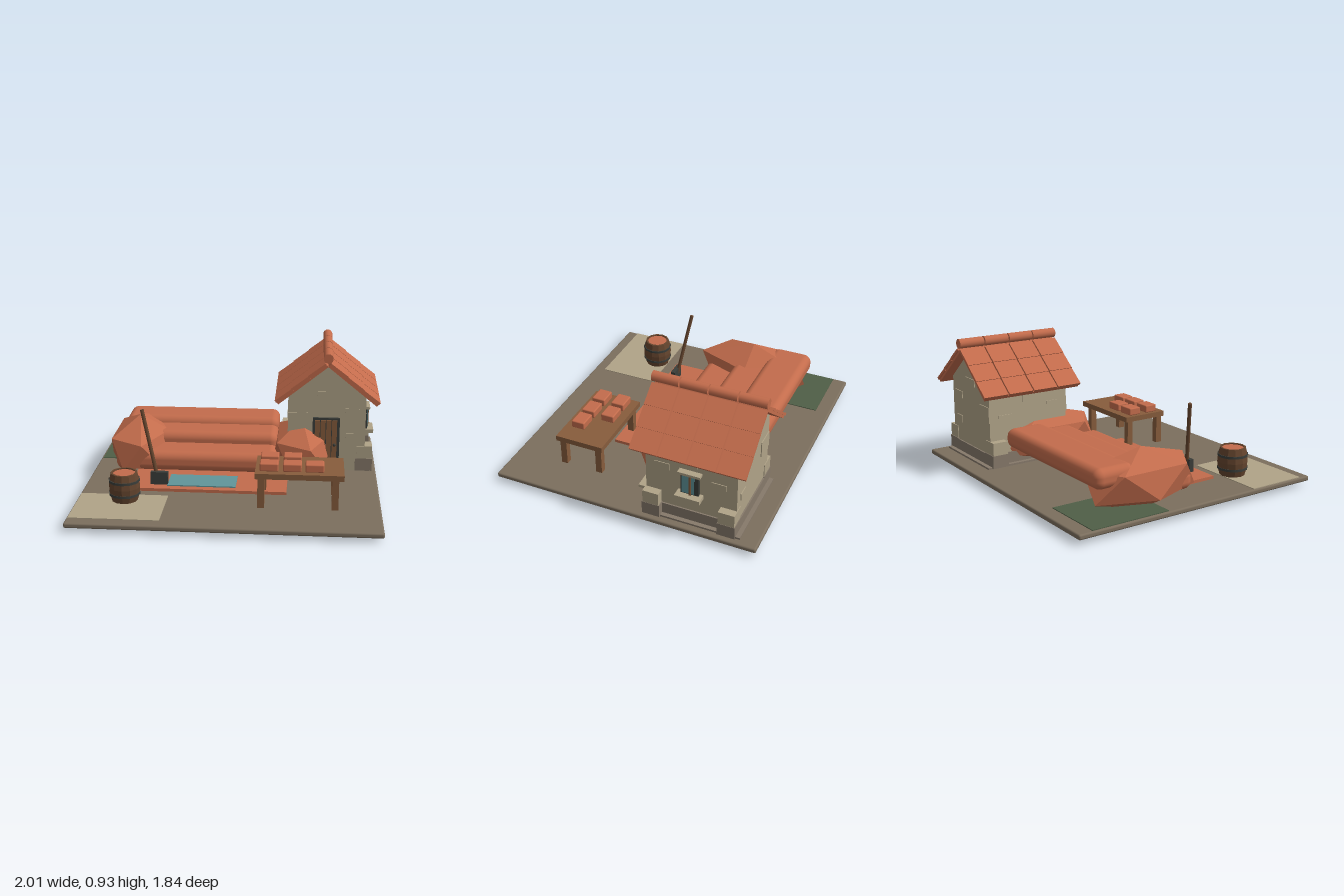
import * as THREE from 'three';
import { RoundedBoxGeometry } from 'three/addons/geometries/RoundedBoxGeometry.js';
import { ConvexGeometry } from 'three/addons/geometries/ConvexGeometry.js';

const mat = (name, color, flatShading = false) => {
  const m = new THREE.MeshStandardMaterial({ color, flatShading });
  m.name = name;
  return m;
};

export function createModel() {
  const clay = mat('clay', 0xc36c4c);
  const stone = mat('stone', 0xb0a388);
  const plinthGrey = mat('plinthGrey', 0x86796a);
  const earth = mat('earth', 0x7c6f5e);
  const wood = mat('wood', 0x875c3c);
  const darkWood = mat('darkWood', 0x65452e);
  const iron = mat('iron', 0x3b3e3a);
  const water = mat('water', 0x61969a);
  const grass = mat('grass', 0x4f5f47);

  const model = new THREE.Group();
  model.name = 'potteryYard';

  const add = (parent, name, geometry, material, x = 0, y = 0, z = 0) => {
    const mesh = new THREE.Mesh(geometry, material);
    mesh.name = name;
    mesh.position.set(x, y, z);
    parent.add(mesh);
    return mesh;
  };
  // Box given by its limits on each axis
  const box = (parent, name, material, x0, x1, y0, y1, z0, z1) =>
    add(parent, name, new THREE.BoxGeometry(x1 - x0, y1 - y0, z1 - z0), material,
      (x0 + x1) / 2, (y0 + y1) / 2, (z0 + z1) / 2);
  const roundBox = (parent, name, material, r, x0, x1, y0, y1, z0, z1) =>
    add(parent, name, new RoundedBoxGeometry(x1 - x0, y1 - y0, z1 - z0, 4, r), material,
      (x0 + x1) / 2, (y0 + y1) / 2, (z0 + z1) / 2);
  const group = (name) => {
    const g = new THREE.Group();
    g.name = name;
    model.add(g);
    return g;
  };

  // Ground and the patches on it
  const ground = group('ground');
  roundBox(ground, 'groundPlate', earth, 0.012, -1, 1, 0.03, 0.065, -0.92, 0.92);
  box(ground, 'grassPatch', grass, -0.985, -0.54, 0.06, 0.07, -0.82, -0.26);
  box(ground, 'sandPatch', stone, -0.99, -0.405, 0.06, 0.07, 0.43, 0.84);
  box(ground, 'clayBed', clay, -0.68, 0.38, 0.06, 0.086, -0.1, 0.35);
  box(ground, 'waterPool', water, -0.43, 0.035, 0.085, 0.094, 0.1, 0.3);

  // Stepped kiln body
  const kiln = group('kiln');
  roundBox(kiln, 'upperChamber', clay, 0.055, -0.83, 0.3, 0.22, 0.355, -0.685, -0.39);
  roundBox(kiln, 'middleChamber', clay, 0.055, -0.83, 0.3, 0.16, 0.31, -0.46, -0.17);
  roundBox(kiln, 'lowerChamber', clay, 0.055, -0.83, 0.3, 0.095, 0.235, -0.235, 0.06);

  // Faceted clay mounds at both ends: two staggered rings of five and two poles
  const moundPoints = [new THREE.Vector3(0, 0.205, 0), new THREE.Vector3(0, -0.205, 0)];
  for (let i = 0; i < 10; i++) {
    const a = i * Math.PI / 5;
    moundPoints.push(new THREE.Vector3(0.21 * Math.cos(a), i % 2 ? -0.092 : 0.092, 0.405 * Math.sin(a)));
  }
  for (const x of [-0.7, 0.47]) {
    add(kiln, 'clayMound', new ConvexGeometry(moundPoints), clay, x, 0.205, -0.27);
  }

  // House walls with a gable at each end
  const house = group('house');
  const gable = new THREE.Shape([[0.37, 0.065], [0.915, 0.065], [0.915, 0.615], [0.642, 0.838], [0.37, 0.615]]
    .map(([x, y]) => new THREE.Vector2(x, y)));
  add(house, 'walls', new THREE.ExtrudeGeometry(gable, { depth: 0.61, bevelEnabled: false }), stone, 0, 0, -0.76);
  box(house, 'plinth', plinthGrey, 0.36, 0.925, 0.065, 0.155, -0.77, -0.155);
  box(house, 'footing', plinthGrey, 0.33, 0.955, 0.06, 0.078, -0.8, -0.15);
  for (const x of [0.37, 0.915]) {
    for (const z of [-0.76, -0.15]) {
      const sx = x < 0.5 ? 1 : -1, sz = z < -0.5 ? 1 : -1;
      const low = add(house, 'cornerStoneLower', new THREE.BoxGeometry(0.12, 0.09, 0.12), plinthGrey);
      low.position.set(x + sx * 0.005, 0.115, z + sz * 0.05);
      const high = add(house, 'cornerStoneUpper', new THREE.BoxGeometry(0.11, 0.09, 0.11), stone);
      high.position.set(x + sx * 0.002, 0.205, z + sz * 0.05);
    }
  }

  // Slightly proud stones in the walls
  for (const [x, y, w, h] of [[0.44, 0.435, 0.14, 0.11], [0.82, 0.5, 0.1, 0.05], [0.64, 0.62, 0.13, 0.05], [0.82, 0.32, 0.08, 0.05]]) {
    box(house, 'frontStone', stone, x - w / 2, x + w / 2, y - h / 2, y + h / 2, -0.151, -0.144);
    box(house, 'backStone', stone, x - w / 2, x + w / 2, y - h / 2, y + h / 2, -0.766, -0.759);
  }
  for (const [z, y] of [[-0.26, 0.45], [-0.64, 0.4], [-0.45, 0.52]]) {
    box(house, 'leftStone', stone, 0.914, 0.92, y - 0.025, y + 0.025, z - 0.05, z + 0.05);
    box(house, 'rightStone', stone, 0.365, 0.371, y - 0.025, y + 0.025, z - 0.05, z + 0.05);
  }

  // Plank door, frame and step
  box(house, 'doorFrame', iron, 0.545, 0.735, 0.07, 0.457, -0.155, -0.133);
  for (let i = 0; i < 4; i++) {
    const x = 0.561 + i * 0.04;
    box(house, 'doorPlank', wood, x, x + 0.035, 0.08, 0.443, -0.14, -0.122);
  }
  add(house, 'doorKnob', new THREE.SphereGeometry(0.011, 10, 8), iron, 0.7, 0.265, -0.115);
  box(house, 'doorStep', stone, 0.53, 0.75, 0.06, 0.085, -0.15, -0.01);

  // Side window
  box(house, 'windowFrame', iron, 0.91, 0.94, 0.3, 0.452, -0.515, -0.395);
  box(house, 'windowPane', water, 0.939, 0.945, 0.31, 0.447, -0.455, -0.405);
  box(house, 'windowPane', water, 0.939, 0.945, 0.31, 0.447, -0.487, -0.468);
  box(house, 'windowBar', wood, 0.938, 0.952, 0.3, 0.452, -0.467, -0.455);
  box(house, 'windowLintel', stone, 0.91, 0.957, 0.45, 0.468, -0.53, -0.38);
  box(house, 'windowSill', stone, 0.91, 0.985, 0.275, 0.302, -0.54, -0.37);

  // Roof: two mirrored slopes of overlapping tiles and a ridge
  for (const turn of [0, Math.PI]) {
    const side = new THREE.Group();
    side.name = 'roofSide';
    side.position.set(0.643, 0.838, -0.46);
    side.rotation.y = turn;
    const slope = new THREE.Group();
    slope.name = 'roofSlope';
    slope.rotation.z = -0.68;
    side.add(slope);
    house.add(side);
    box(slope, 'roofBoard', clay, 0, 0.438, 0, 0.02, -0.37, 0.37);
    for (let row = 0; row < 3; row++) {
      for (let col = 0; col < 4; col++) {
        const tile = add(slope, 'roofTile', new THREE.BoxGeometry(0.15, 0.018, 0.183), clay,
          0.075 + row * 0.145, 0.027, (col - 1.5) * 0.192);
        tile.rotation.z = 0.03;
      }
    }
  }
  for (let i = 0; i < 4; i++) {
    const cap = add(house, 'ridgeCap', new THREE.CylinderGeometry(0.034, 0.034, 0.183, 14), clay,
      0.643, 0.898, -0.46 + (i - 1.5) * 0.192);
    cap.rotation.x = Math.PI / 2;
  }

  // Work table with drying bricks
  const table = group('workTable');
  box(table, 'tableTop', wood, 0.18, 0.755, 0.268, 0.305, 0.25, 0.59);
  for (const x of [0.22, 0.7]) {
    for (const z of [0.297, 0.558]) {
      box(table, 'tableLeg', wood, x - 0.022, x + 0.022, 0.065, 0.27, z - 0.022, z + 0.022);
    }
  }
  for (const [x, z] of [[0.27, 0.35], [0.42, 0.35], [0.27, 0.495], [0.42, 0.495], [0.565, 0.495]]) {
    roundBox(table, 'brick', clay, 0.008, x - 0.06, x + 0.06, 0.304, 0.357, z - 0.047, z + 0.047);
  }

  // Barrel with staves, hoops and clay filling
  const barrel = group('barrel');
  barrel.position.set(-0.68, 0, 0.515);
  const stave = [[0, 0.068], [0.085, 0.068], [0.1, 0.12], [0.104, 0.165], [0.1, 0.21], [0.088, 0.262], [0.074, 0.262], [0.074, 0.245]]
    .map(([r, y]) => new THREE.Vector2(r, y));
  const staves = new THREE.LatheGeometry(stave, 12).toNonIndexed();
  staves.computeVertexNormals();
  add(barrel, 'staves', staves, darkWood);
  for (const y of [0.12, 0.21]) {
    add(barrel, 'hoop', new THREE.CylinderGeometry(0.104, 0.104, 0.016, 12), iron, 0, y, 0);
  }
  add(barrel, 'clayFilling', new THREE.CylinderGeometry(0.076, 0.076, 0.02, 16), clay, 0, 0.245, 0);

  // Leaning mallet
  const mallet = group('mallet');
  const from = new THREE.Vector3(-0.5, 0.13, 0.265), to = new THREE.Vector3(-0.608, 0.592, 0.195);
  const handle = add(mallet, 'handle', new THREE.CylinderGeometry(0.013, 0.013, from.distanceTo(to), 10), darkWood);
  handle.position.copy(from).lerp(to, 0.5);
  handle.quaternion.setFromUnitVectors(new THREE.Vector3(0, 1, 0), to.clone().sub(from).normalize());
  box(mallet, 'malletHead', iron, -0.545, -0.427, 0.09, 0.178, 0.255, 0.288);

  return model;
}
